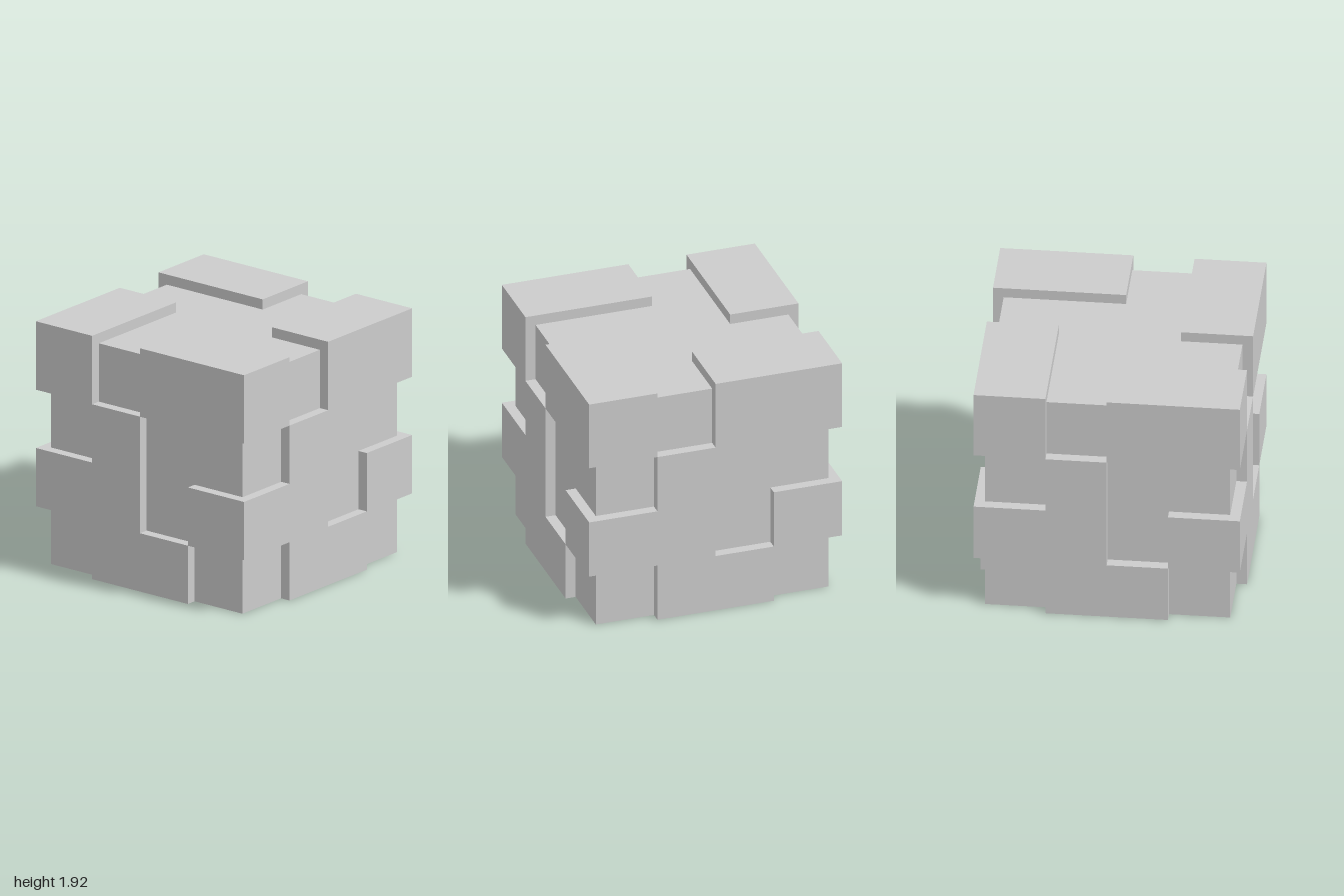
import * as THREE from 'three';

const OUT = 1, CORE = 0.92, STEP = 0.46; // outer half width, core half width, grid unit
const TOP = 1.92, CORE_TOP = 1.84;

const material = new THREE.MeshStandardMaterial({ color: 0xcccccc, flatShading: true });

// Box given by its lower and upper corners
function block(name, [x0, y0, z0], [x1, y1, z1]) {
  const geometry = new THREE.BoxGeometry(x1 - x0, y1 - y0, z1 - z0);
  geometry.translate((x0 + x1) / 2, (y0 + y1) / 2, (z0 + z1) / 2);
  const mesh = new THREE.Mesh(geometry, material);
  mesh.name = name;
  return mesh;
}

// One side of the cube, facing +z
function createSide() {
  const side = new THREE.Group();

  // Stepped raised plate: foot, arm reaching the corner, and upright
  const outline = [
    [-STEP, 0], [STEP, 0], [STEP, STEP], [0, STEP], [0, 3 * STEP],
    [-STEP, 3 * STEP], [-STEP, 2 * STEP], [-OUT, 2 * STEP], [-OUT, STEP], [-STEP, STEP],
  ].map(([x, y]) => new THREE.Vector2(x, y));
  const geometry = new THREE.ExtrudeGeometry(new THREE.Shape(outline), {
    depth: OUT - CORE, bevelEnabled: false,
  });
  geometry.translate(0, 0, CORE);
  const plate = new THREE.Mesh(geometry, material);
  plate.name = 'steppedPlate';

  side.add(
    plate,
    // Arm continuing round the corner
    block('cornerArm', [-OUT, STEP, STEP], [-CORE, 2 * STEP, CORE]),
    // Large block on the top corner
    block('topCornerBlock', [0, 3 * STEP, STEP], [OUT, TOP, OUT]),
  );
  return side;
}

export function createModel() {
  const model = new THREE.Group();
  model.name = 'puzzleCube';
  model.add(block('core', [-CORE, 0, -CORE], [CORE, CORE_TOP, CORE]));

  // Four identical sides turned about the vertical axis
  ['frontSide', 'leftSide', 'backSide', 'rightSide'].forEach((name, i) => {
    const side = createSide();
    side.name = name;
    side.rotation.y = (i * Math.PI) / 2;
    model.add(side);
  });
  return model;
}
